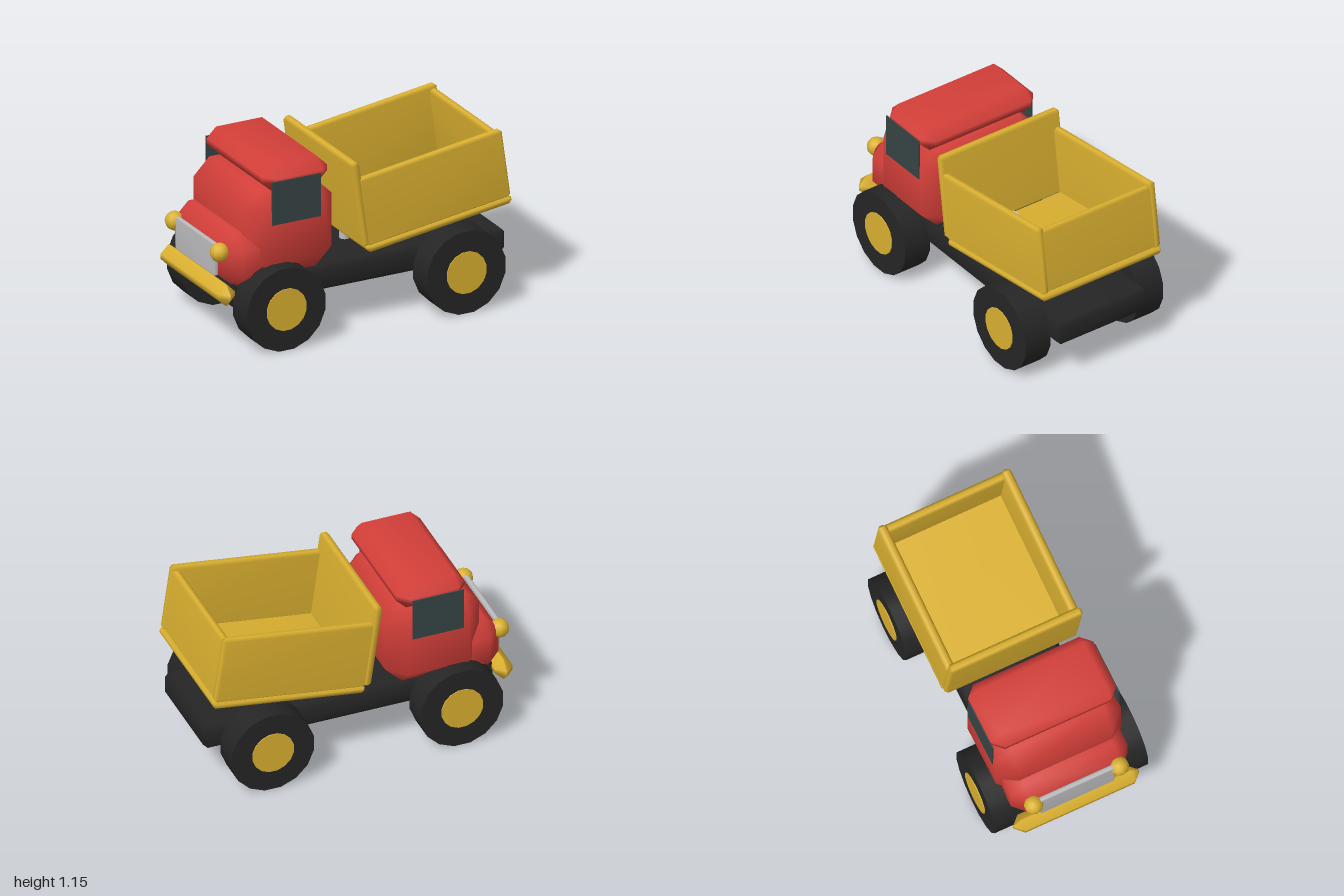
import * as THREE from 'three';
import { mergeVertices } from 'three/addons/utils/BufferGeometryUtils.js';
import { ConvexGeometry } from 'three/addons/geometries/ConvexGeometry.js';

const material = (name, color) => {
  const m = new THREE.MeshStandardMaterial({ color });
  m.name = name;
  return m;
};

// Box with one chamfer per edge and softly shaded bevels
function chamferBox(w, h, d, c) {
  const points = [];
  for (const x of [-1, 1]) for (const y of [-1, 1]) for (const z of [-1, 1]) {
    const a = w / 2, b = h / 2, e = d / 2;
    points.push(
      new THREE.Vector3(x * a, y * (b - c), z * (e - c)),
      new THREE.Vector3(x * (a - c), y * b, z * (e - c)),
      new THREE.Vector3(x * (a - c), y * (b - c), z * e));
  }
  const g = new ConvexGeometry(points);
  g.deleteAttribute('normal');
  const merged = mergeVertices(g, 1e-5);
  merged.computeVertexNormals();
  return merged;
}

export function createModel() {
  const red = material('cab red', 0xd43f39);
  const yellow = material('bed yellow', 0xdab030);
  const black = material('tire black', 0x252525);
  const glass = material('window glass', 0x364445);
  const grey = material('metal grey', 0xbcbcbe);

  const truck = new THREE.Group();
  truck.name = 'dumpTruck';

  const add = (parent, name, geometry, mat, x = 0, y = 0, z = 0) => {
    const mesh = new THREE.Mesh(geometry, mat);
    mesh.name = name;
    mesh.position.set(x, y, z);
    parent.add(mesh);
    return mesh;
  };
  // Chamfered block given by its ranges in x and y and its depth in z
  const block = (parent, name, mat, x0, x1, y0, y1, depth, c, z = 0) =>
    add(parent, name, chamferBox(x1 - x0, y1 - y0, depth, c), mat, (x0 + x1) / 2, (y0 + y1) / 2, z);

  // Chassis and cab; the truck drives towards -x
  block(truck, 'chassis', black, -0.89, 1, 0.255, 0.42, 0.67, 0.03);
  block(truck, 'cab', red, -0.8, -0.185, 0.42, 0.985, 0.84, 0.11);
  block(truck, 'hood', red, -0.93, -0.55, 0.375, 0.73, 0.78, 0.09);
  block(truck, 'roof', red, -0.685, -0.24, 0.985, 1.15, 0.84, 0.065);
  block(truck, 'grille', grey, -0.96, -0.925, 0.455, 0.665, 0.5, 0.008);
  block(truck, 'bumper', yellow, -0.995, -0.88, 0.3, 0.44, 0.84, 0.054);

  // Side windows and headlights
  for (const side of [1, -1]) {
    add(truck, 'sideWindow', new THREE.BoxGeometry(0.335, 0.28, 0.009), glass, -0.487, 0.93, side * 0.422);
    add(truck, 'headlight', new THREE.SphereGeometry(0.06, 10, 8), yellow, -0.942, 0.623, side * 0.287);
  }

  // Wheels: sixteen-sided tires with a hub showing on both faces
  const tire = new THREE.CylinderGeometry(0.272, 0.272, 0.187, 16, 1, false, Math.PI / 16).rotateX(Math.PI / 2);
  const hub = new THREE.CylinderGeometry(0.137, 0.137, 0.2, 16, 1, false, Math.PI / 16).rotateX(Math.PI / 2);
  for (const x of [-0.605, 0.63]) for (const side of [1, -1]) {
    const wheel = new THREE.Group();
    wheel.name = 'wheel';
    wheel.position.set(x, 0.267, side * 0.421);
    add(wheel, 'tire', tire, black);
    add(wheel, 'hub', hub, yellow);
    truck.add(wheel);
  }

  // Lifting piston
  add(truck, 'piston', new THREE.CylinderGeometry(0.033, 0.033, 0.24, 12), grey, 0.07, 0.46, 0);

  // Tilted bed, open at the top
  const bed = new THREE.Group();
  bed.name = 'dumpBed';
  bed.position.set(0, 0.485, 0);
  bed.rotation.z = THREE.MathUtils.degToRad(8);
  block(bed, 'bedFloor', yellow, 0, 0.998, 0, 0.056, 0.89, 0.018);
  block(bed, 'headboard', yellow, -0.037, 0.023, 0.05, 0.615, 0.89, 0.018);
  block(bed, 'tailgate', yellow, 0.935, 0.992, 0.05, 0.478, 0.85, 0.018);
  for (const side of [1, -1])
    block(bed, 'bedSide', yellow, 0, 0.995, 0.045, 0.5, 0.06, 0.018, side * 0.416);
  truck.add(bed);

  return truck;
}
